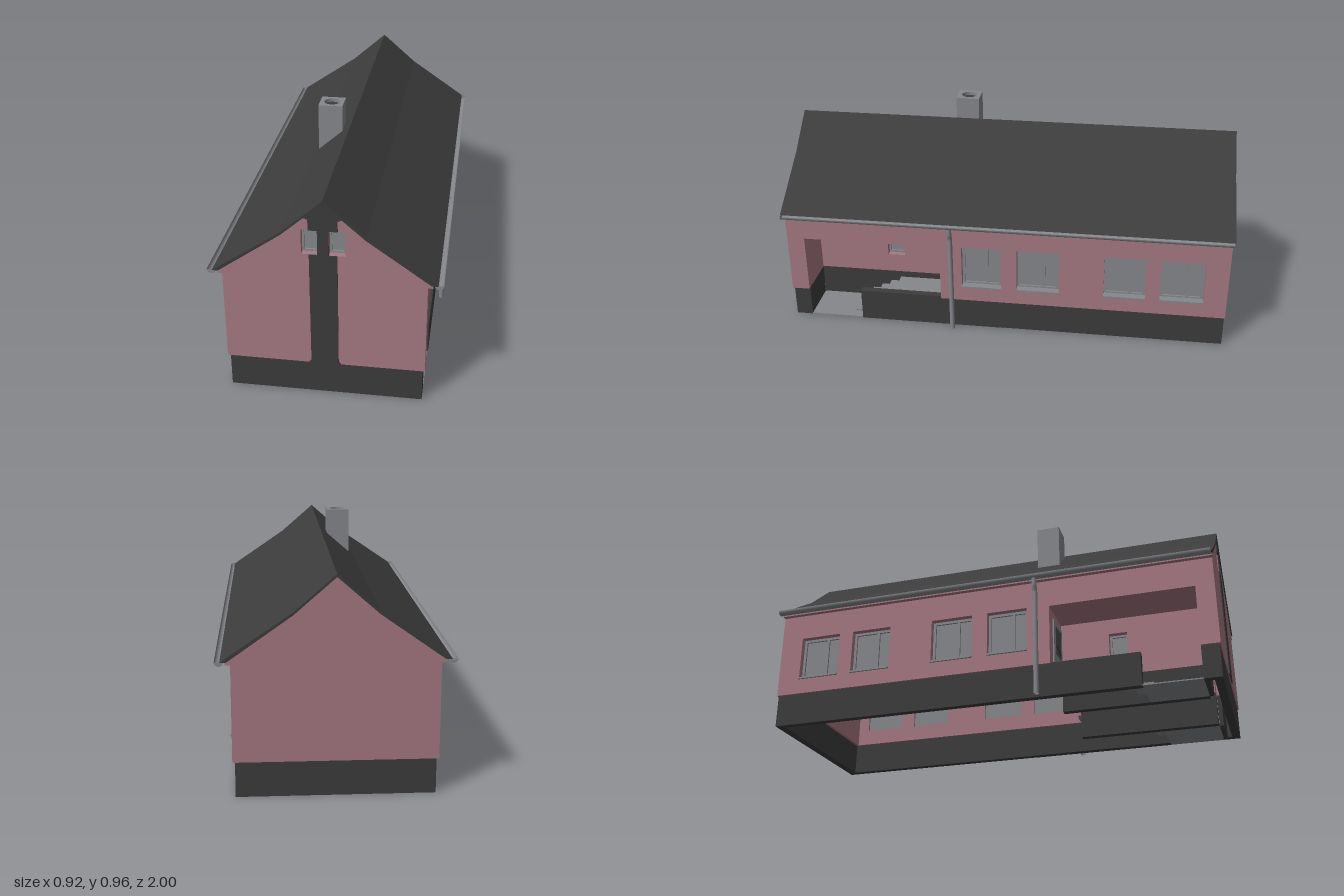
import * as THREE from 'three';

const mat = (name, color, side = THREE.FrontSide) => {
  const m = new THREE.MeshStandardMaterial({ color, side });
  m.name = name;
  return m;
};

export function createModel() {
  const house = new THREE.Group();
  house.name = 'house';
  const pink = mat('pink plaster', 0xa57883);
  const grey = mat('grey metal and concrete', 0x85878b, THREE.DoubleSide);
  const dark = mat('charcoal', 0x3c3c3c, THREE.DoubleSide);

  const add = (name, geo, material, parent = house) => {
    const m = new THREE.Mesh(geo, material);
    m.name = name;
    parent.add(m);
    return m;
  };
  // Box given by its limits on each axis
  const box = (name, material, x0, x1, y0, y1, z0, z1, parent) => {
    const m = add(name, new THREE.BoxGeometry(Math.abs(x1 - x0), y1 - y0, z1 - z0), material, parent);
    m.position.set((x0 + x1) / 2, (y0 + y1) / 2, (z0 + z1) / 2);
    return m;
  };
  const shapeOf = (pts) => new THREE.Shape(pts.map(([x, y]) => new THREE.Vector2(x, y)));
  const mirrored = (pts) => [...pts, ...pts.slice().reverse().filter(([x]) => x !== 0).map(([x, y]) => [-x, y])];
  const cut = (shape, x0, x1, y0, y1) => {
    shape.holes.push(new THREE.Path([[x0, y0], [x0, y1], [x1, y1], [x1, y0]].map(([x, y]) => new THREE.Vector2(x, y))));
  };
  const extrude = (shape, depth) => new THREE.ExtrudeGeometry(shape, { depth, bevelEnabled: false, curveSegments: 12 });

  // Window facing +z: pane, frame bars, optional mullion and sill
  const addWindow = (name, w, h, x, y, z, turn, mullion, sill) => {
    const g = new THREE.Group();
    g.name = name;
    g.position.set(x, y, z);
    g.rotation.y = turn;
    house.add(g);
    const b = Math.min(0.012, w * 0.12);
    box('pane', grey, -w / 2, w / 2, -h / 2, h / 2, -0.04, -0.034, g);
    for (const s of [-1, 1]) {
      box('frameSide', grey, s * w / 2, s * (w / 2 - b), -h / 2, h / 2, -0.04, -0.026, g);
      box('frameRail', grey, -w / 2, w / 2, s * (h / 2 - b / 2) - b / 2, s * (h / 2 - b / 2) + b / 2, -0.04, -0.026, g);
    }
    if (mullion) box('mullion', grey, w * 0.1, w * 0.1 + b, -h / 2, h / 2, -0.04, -0.026, g);
    if (sill) box('sill', grey, -w / 2, w / 2, -h / 2 - 0.003, -h / 2 + 0.005, -0.03, 0.008, g);
  };

  const windows = [[0.01, 0.19], [-0.25, -0.06], [-0.635, -0.45], [-0.89, -0.7]];
  const wallT = 0.05;
  const inner = 0.19; // porch back wall
  const zDoor = 0.29, zEnd = 0.915, zStep = 0.67;

  // Roof with a kink in each slope
  const roof = mirrored([[0.44, 0.545], [0.165, 0.733], [0, 0.877]]);
  const under = mirrored([[0.415, 0.545], [0.163, 0.723], [0, 0.866]]).reverse();
  const roofGeo = extrude(shapeOf([...roof, ...under]), 2);
  roofGeo.translate(0, 0, -1);
  add('roof', roofGeo, dark);

  // Gable walls
  const gablePts = mirrored([[0.4, 0.143], [0.4, 0.532], [0.42, 0.532], [0.42, 0.545], [0.385, 0.568], [0.164, 0.728], [0, 0.87]]);
  for (const s of [1, -1]) {
    const shape = shapeOf(gablePts);
    if (s > 0) {
      cut(shape, 0.022, 0.085, 0.645, 0.75);
      cut(shape, -0.085, -0.022, 0.645, 0.75);
    }
    const geo = extrude(shape, wallT);
    geo.translate(0, 0, s > 0 ? 0.995 - wallT : -0.993);
    add(s > 0 ? 'frontGable' : 'backGable', geo, pink);
    box(s > 0 ? 'frontPlinth' : 'backPlinth', dark, -0.39, 0.39, 0, 0.145, s > 0 ? 0.955 : -0.99, s > 0 ? 0.99 : -0.955);
  }

  // Dark front strip running up to the peak, narrowed between the attic windows
  const strip = extrude(shapeOf(mirrored([
    [0.065, 0.145], [0.055, 0.158], [0.055, 0.645], [0.022, 0.645], [0.022, 0.75],
    [0.057, 0.75], [0.057, 0.795], [0.077, 0.803], [0, 0.87],
  ])), 0.004);
  strip.translate(0, 0, 0.995);
  add('frontStrip', strip, dark);
  for (const s of [-1, 1]) addWindow('atticWindow', 0.063, 0.105, s * 0.0535, 0.6975, 0.995, 0, false, false);

  for (const s of [-1, 1]) {
    const X = (v) => s * v;
    const turn = s * Math.PI / 2;

    // Long wall with window holes and porch notch, drawn in (z, y)
    const wall = shapeOf([[-0.945, 0.143], [zDoor, 0.143], [zDoor, 0.41], [zEnd, 0.41], [zEnd, 0.143],
      [0.945, 0.143], [0.945, 0.552], [-0.945, 0.552]]);
    for (const [a, b] of windows) cut(wall, a, b, 0.215, 0.415);
    const wallGeo = extrude(wall, wallT);
    wallGeo.rotateY(-Math.PI / 2);
    wallGeo.translate(s > 0 ? 0.4 : -0.4 + wallT, 0, 0);
    add('sideWall', wallGeo, pink);
    for (const [a, b] of windows) addWindow('sideWindow', b - a, 0.2, X(0.4), 0.315, (a + b) / 2, turn, true, true);

    // Plinth and porch parapet
    box('sidePlinth', dark, X(0.36), X(0.39), 0, 0.145, -0.955, zDoor);
    box('porchParapet', dark, X(0.36), X(0.392), 0, 0.148, 0, zStep);
    box('cornerPlinth', dark, X(0.36), X(0.39), 0, 0.145, zEnd, 0.955);

    // Eave soffit
    box('soffit', pink, X(0.395), X(0.42), 0.532, 0.548, -0.95, 0.95);

    // Recessed porch: back wall, end walls and ceiling
    const back = shapeOf([[zDoor, 0.143], [zEnd, 0.143], [zEnd, 0.42], [zDoor, 0.42]]);
    cut(back, 0.505, 0.585, 0.235, 0.34);
    const backGeo = extrude(back, wallT);
    backGeo.rotateY(-Math.PI / 2);
    backGeo.translate(s > 0 ? inner : -inner + wallT, 0, 0);
    add('porchBackWall', backGeo, pink);
    addWindow('porchWindow', 0.08, 0.105, X(inner), 0.2875, 0.545, turn, false, false);
    box('porchBackPlinth', dark, X(inner - 0.03), X(inner), 0, 0.145, zDoor, zEnd);
    box('porchCeiling', pink, X(inner), X(0.36), 0.41, 0.42, zDoor, zEnd);
    box('porchFrontWall', pink, X(inner), X(0.352), 0.143, 0.42, zEnd, zEnd + 0.02);
    box('porchFrontPlinth', dark, X(inner), X(0.36), 0, 0.145, zEnd + 0.001, zEnd + 0.02);
    box('porchDoorWall', pink, X(inner - 0.01), X(0.352), 0.115, 0.42, zDoor - 0.02, zDoor);

    // Door with glazed bars
    box('door', grey, X(0.205), X(0.345), 0.115, 0.375, zDoor - 0.026, zDoor + 0.006);
    for (let i = 0; i < 5; i++) {
      const x = 0.237 + i * 0.017;
      box('doorGlazing', dark, X(x), X(x + 0.01), 0.22, 0.35, zDoor + 0.006, zDoor + 0.009);
      box('doorGlazingInside', dark, X(x), X(x + 0.01), 0.22, 0.35, zDoor - 0.029, zDoor - 0.026);
    }

    // Ground slab, steps and landing
    box('porchGround', grey, X(inner), X(0.39), 0, 0.005, zStep, zEnd);
    box('landing', grey, X(inner), X(0.36), 0.105, 0.115, zDoor, 0.53);
    for (let i = 0; i < 4; i++) {
      const z = 0.53 + i * 0.045, y = 0.092 - i * 0.023;
      box('stepTread', grey, X(inner), X(0.36), y - 0.006, y, z, z + 0.048);
      box('stepRiser', grey, X(inner), X(0.36), y, y + 0.023, z - 0.004, z);
    }

    // Half-round gutter with end caps
    const gutter = new THREE.CylinderGeometry(0.018, 0.018, 1.99, 12, 1, true, -Math.PI / 2, Math.PI);
    gutter.rotateX(Math.PI / 2);
    add('gutter', gutter, grey).position.set(X(0.443), 0.546, 0);
    for (const e of [-1, 1]) {
      add('gutterEnd', new THREE.CircleGeometry(0.018, 12, Math.PI, Math.PI), grey).position.set(X(0.443), 0.546, e * 0.995);
    }

    // Downpipe with a swan neck
    const path = new THREE.CurvePath();
    const pts = [[0.441, 0.532], [0.44, 0.505], [0.428, 0.47], [0.422, 0.003]].map(([x, y]) => new THREE.Vector3(X(x), y, 0.235));
    for (let i = 0; i < 3; i++) path.add(new THREE.LineCurve3(pts[i], pts[i + 1]));
    add('downpipe', new THREE.TubeGeometry(path, 40, 0.0115, 10), grey);
  }

  // Chimney with a round flue
  const chimney = shapeOf([[-0.0525, -0.0525], [0.0525, -0.0525], [0.0525, 0.0525], [-0.0525, 0.0525]]);
  const flue = new THREE.Path();
  flue.absarc(0, 0, 0.035, 0, Math.PI * 2, true);
  chimney.holes.push(flue);
  const chimneyGeo = extrude(chimney, 0.24);
  chimneyGeo.rotateX(-Math.PI / 2);
  add('chimney', chimneyGeo, grey).position.set(-0.0885, 0.72, 0.225);
  const flueFloor = add('flueFloor', new THREE.CircleGeometry(0.036, 24), dark);
  flueFloor.rotation.x = -Math.PI / 2;
  flueFloor.position.set(-0.0885, 0.945, 0.225);

  return house;
}
